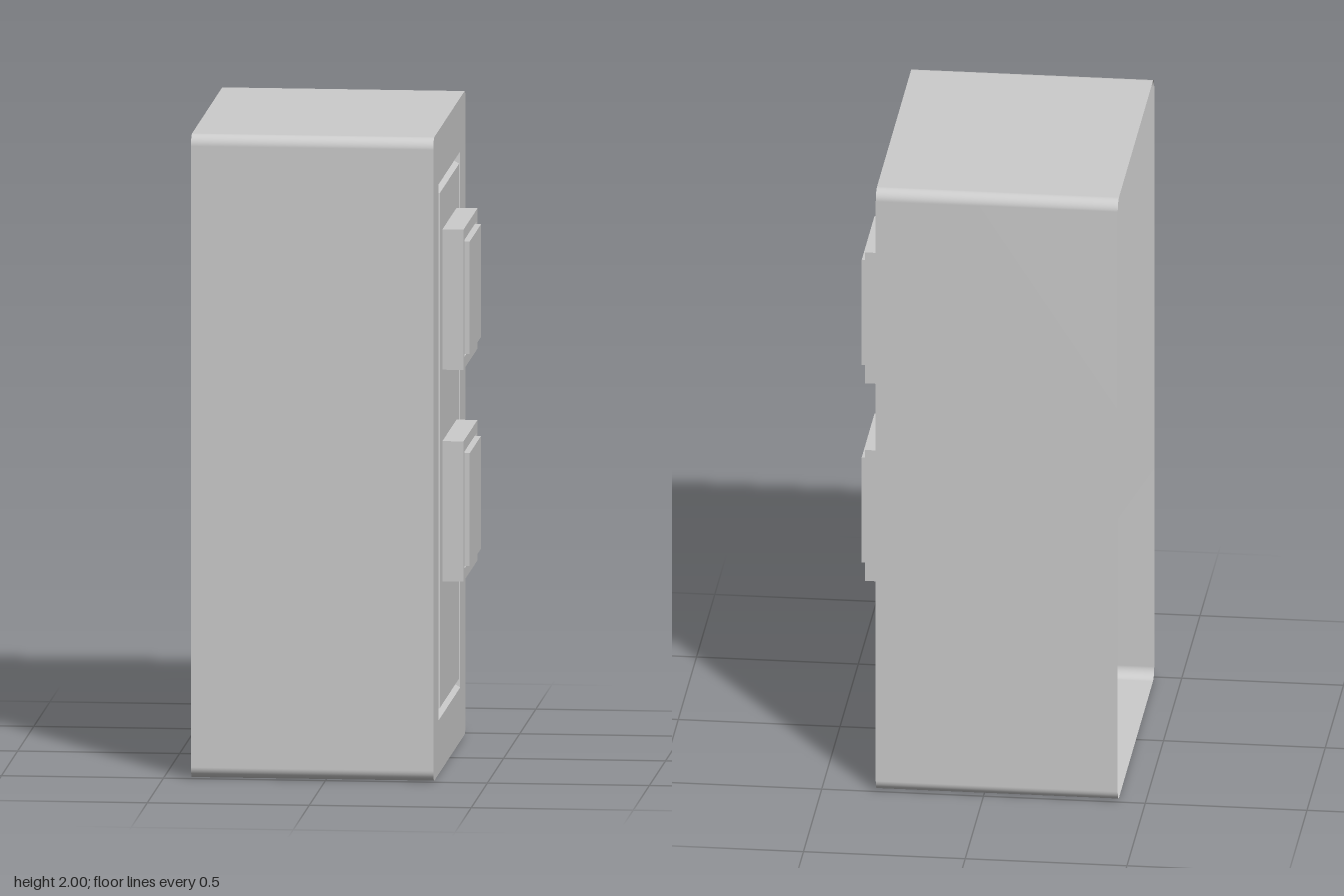
import * as THREE from 'three';

const material = new THREE.MeshStandardMaterial({ color: 0xcccccc, side: THREE.DoubleSide });
const FACE = 0.333; // depth of the front plate
const BACK = -0.415; // depth of the open rear edge

// Counter-clockwise outline of a rectangle, with optional rounded corners
function outline(halfW, halfH, r = 0, steps = 8) {
  if (r === 0) {
    return [[1, 1], [-1, 1], [-1, -1], [1, -1]].map(([x, y]) => new THREE.Vector2(x * halfW, y * halfH));
  }
  const points = [];
  [[1, 1], [-1, 1], [-1, -1], [1, -1]].forEach(([sx, sy], corner) => {
    for (let i = 0; i <= steps; i++) {
      const a = (corner + i / steps) * Math.PI / 2;
      points.push(new THREE.Vector2(sx * (halfW - r) + r * Math.cos(a), sy * (halfH - r) + r * Math.sin(a)));
    }
  });
  return points;
}

// Band joining a series of outlines, each at its own depth
function loft(loops, smooth) {
  const n = loops[0].points.length;
  const positions = [], index = [];
  for (const { points, depth } of loops) for (const p of points) positions.push(p.x, p.y, depth);
  for (let k = 0; k < loops.length - 1; k++) {
    for (let i = 0; i < n; i++) {
      const a = k * n + i, b = k * n + (i + 1) % n;
      index.push(a, b, b + n, a, b + n, a + n);
    }
  }
  let geometry = new THREE.BufferGeometry();
  geometry.setAttribute('position', new THREE.Float32BufferAttribute(positions, 3));
  geometry.setIndex(index);
  if (!smooth) geometry = geometry.toNonIndexed();
  geometry.computeVertexNormals();
  return geometry;
}

function shapeWithHole(outer, inner) {
  const shape = new THREE.Shape(outer);
  shape.holes.push(new THREE.Path(inner));
  return shape;
}

function addMesh(parent, name, geometry, x = 0, y = 0, z = 0) {
  const mesh = new THREE.Mesh(geometry, material);
  mesh.name = name;
  mesh.position.set(x, y, z);
  parent.add(mesh);
  return mesh;
}

// Square bezel with a raised cap sitting in a narrow gap
function createButton() {
  const button = new THREE.Group();
  const bezel = shapeWithHole(outline(0.218, 0.218), outline(0.182, 0.182));
  addMesh(button, 'buttonBezel', new THREE.ExtrudeGeometry(bezel, { depth: 0.065, bevelEnabled: false }));
  addMesh(button, 'buttonCap', new THREE.BoxGeometry(0.35, 0.35, 0.08), 0, 0, 0.04);
  return button;
}

export function createModel() {
  const model = new THREE.Group();
  model.name = 'switchBox';

  // Parts are laid out facing +z, then turned to face +x
  const body = new THREE.Group();
  body.name = 'body';
  body.position.y = 1;
  body.rotation.y = Math.PI / 2;
  model.add(body);

  // Thin housing, open at the rear
  const rim = outline(0.5, 1, 0.035);
  addMesh(body, 'housing', loft([{ points: rim, depth: BACK }, { points: rim, depth: FACE }], true));

  // Front plate around the panel
  const opening = outline(0.333, 0.833);
  addMesh(body, 'frontPlate', new THREE.ShapeGeometry(shapeWithHole(rim, opening)), 0, 0, FACE);

  // V-shaped groove running round the panel
  const panel = outline(0.3, 0.8);
  addMesh(body, 'panelGroove', loft([
    { points: opening, depth: FACE },
    { points: outline(0.312, 0.812), depth: FACE - 0.025 },
    { points: panel, depth: FACE },
  ], false));
  addMesh(body, 'panel', new THREE.ShapeGeometry(new THREE.Shape(panel)), 0, 0, FACE);

  // Two push buttons
  [['upperButton', 0.457], ['lowerButton', -0.201]].forEach(([name, y]) => {
    const button = createButton();
    button.name = name;
    button.position.set(0, y, FACE);
    body.add(button);
  });

  return model;
}
